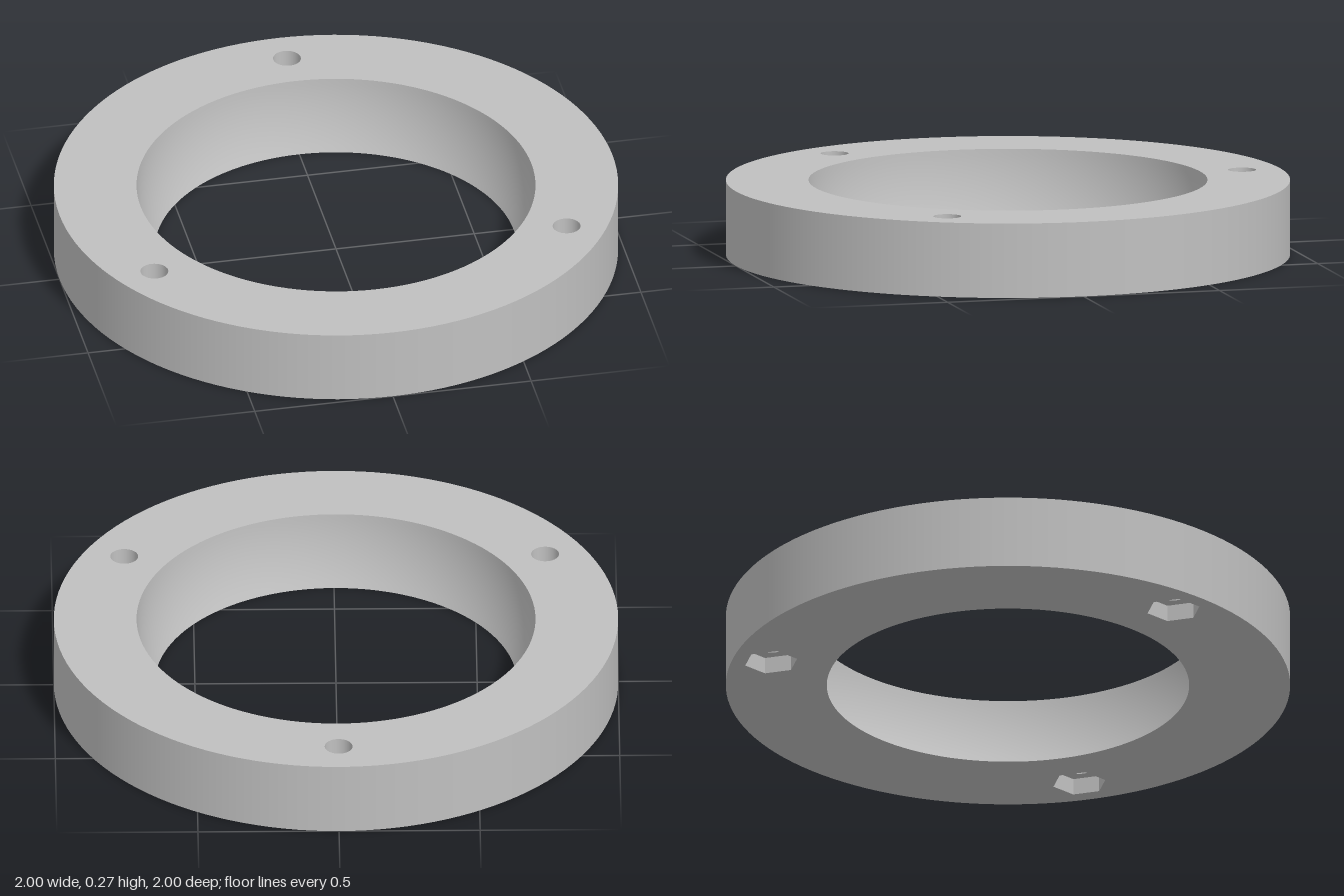
import * as THREE from 'three';

const HEIGHT = 0.267, OUTER = 1, BOLT_CIRCLE = 0.861;
const HOLE = 0.0495, HEX = 0.096, POCKET = 0.06;
const BOWL = 0.7075, BOWL_Y = 0.297; // spherical bore: radius and centre height
const SEGS = 128;

const boreRadius = (y) => Math.sqrt(BOWL * BOWL - (y - BOWL_Y) ** 2);

// regular polygon outline
function ring(r, n, cx = 0, cy = 0) {
  return Array.from({ length: n }, (_, i) => {
    const a = (i / n) * Math.PI * 2;
    return new THREE.Vector2(cx + r * Math.cos(a), cy + r * Math.sin(a));
  });
}

// flat plate with cut-outs, facing up or down
function plate(outline, holes, y, up) {
  const shape = new THREE.Shape(outline);
  holes.forEach((h) => shape.holes.push(new THREE.Path(h)));
  const g = new THREE.ShapeGeometry(shape);
  g.rotateX(up ? -Math.PI / 2 : Math.PI / 2);
  return g.translate(0, y, 0);
}

// open wall of revolution: rising points face outward, falling points inward
function wall(points, n) {
  return new THREE.LatheGeometry(points.map(([r, y]) => new THREE.Vector2(r, y)), n, Math.PI / 2);
}

export function createModel() {
  const model = new THREE.Group();
  model.name = 'mountingRing';
  const grey = new THREE.MeshStandardMaterial({ color: 0xc0c0c0 });
  grey.name = 'light grey';

  const add = (name, geometry, parent = model) => {
    const mesh = new THREE.Mesh(geometry, grey);
    mesh.name = name;
    parent.add(mesh);
  };

  // three bolt positions, the first at the back
  const bolts = [0, 1, 2].map((i) => {
    const a = (i * Math.PI * 2) / 3;
    return { x: BOLT_CIRCLE * Math.sin(a), z: -BOLT_CIRCLE * Math.cos(a) };
  });

  // ring body
  add('outerWall', wall([[OUTER, 0], [OUTER, HEIGHT]], SEGS));
  const bore = [];
  for (let i = 12; i >= 0; i--) {
    const y = (HEIGHT * i) / 12;
    bore.push([boreRadius(y), y]);
  }
  add('sphericalBore', wall(bore, SEGS));
  add('topFace', plate(ring(OUTER, SEGS),
    [ring(boreRadius(HEIGHT), SEGS), ...bolts.map((b) => ring(HOLE, 32, b.x, -b.z))], HEIGHT, true));
  add('bottomFace', plate(ring(OUTER, SEGS),
    [ring(boreRadius(0), SEGS), ...bolts.map((b) => ring(HEX, 6, b.x, b.z))], 0, false));

  // bolt holes with hexagonal nut pockets underneath
  for (const { x, z } of bolts) {
    const hole = new THREE.Group();
    hole.name = 'boltHole';
    hole.position.set(x, 0, z);
    model.add(hole);
    add('holeWall', wall([[HOLE, HEIGHT], [HOLE, POCKET]], 32), hole);
    const hexWall = wall([[HEX, POCKET], [HEX, 0]], 6).toNonIndexed();
    hexWall.computeVertexNormals();
    add('nutPocketWall', hexWall, hole);
    add('nutPocketCeiling', plate(ring(HEX, 6), [ring(HOLE, 32)], POCKET, false), hole);
  }
  return model;
}
